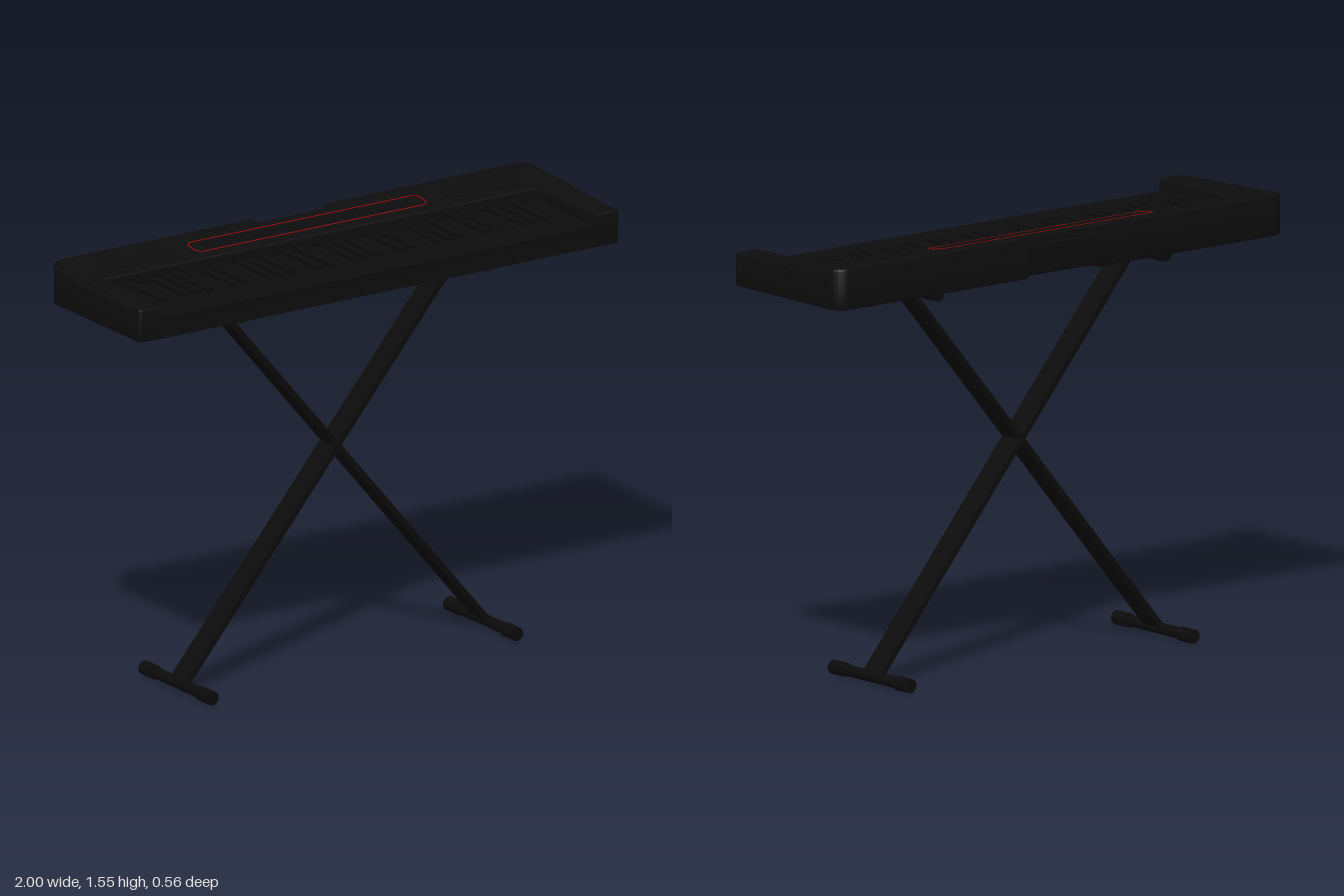
import * as THREE from 'three';
import { toCreasedNormals } from 'three/addons/utils/BufferGeometryUtils.js';

export function createModel() {
  const model = new THREE.Group();
  const mat = (name, color) => {
    const m = new THREE.MeshStandardMaterial({ color });
    m.name = name;
    return m;
  };
  const black = mat('case black', 0x0d0d0d);
  const keyBlack = mat('key black', 0x0c0c0c);
  const standBlack = mat('stand black', 0x0b0b0b);
  const red = mat('trim red', 0xb80808);

  const add = (parent, name, geometry, material, x = 0, y = 0, z = 0) => {
    const mesh = new THREE.Mesh(geometry, material);
    mesh.name = name;
    mesh.position.set(x, y, z);
    parent.add(mesh);
    return mesh;
  };
  const box = (parent, name, material, w, h, d, x, y, z) =>
    add(parent, name, new THREE.BoxGeometry(w, h, d), material, x, y, z);

  // Case: U-shaped plan with end cheeks, a raised back and a rear notch
  const FLAT = 1.525, BASE = 1.405, BACK = 0.283, BEND = 0.08, RISE = 0.027, RUN = 0.185;
  const plan = new THREE.Shape();
  plan.moveTo(-1, -0.27);
  plan.quadraticCurveTo(-1, -0.28, -0.99, -0.28);
  plan.lineTo(-0.9, -0.28);
  plan.lineTo(-0.9, BEND);
  plan.lineTo(0.9, BEND);
  plan.lineTo(0.9, -0.28);
  plan.lineTo(0.99, -0.28);
  plan.quadraticCurveTo(1, -0.28, 1, -0.27);
  plan.lineTo(1, BEND);
  plan.lineTo(1, BACK - 0.05);
  plan.absarc(0.95, BACK - 0.05, 0.05, 0, Math.PI / 2, false);
  plan.lineTo(0.15, BACK);
  plan.lineTo(0.15, 0.247);
  plan.lineTo(-0.15, 0.247);
  plan.lineTo(-0.15, BACK);
  plan.lineTo(-0.95, BACK);
  plan.absarc(-0.95, BACK - 0.05, 0.05, Math.PI / 2, Math.PI, false);
  plan.lineTo(-1, BEND);
  const bevel = 0.008;
  const caseGeo = new THREE.ExtrudeGeometry(plan, {
    depth: FLAT - BASE - 2 * bevel, bevelEnabled: true, bevelThickness: bevel,
    bevelSize: bevel, bevelOffset: -bevel, bevelSegments: 3, curveSegments: 10
  });
  caseGeo.rotateX(-Math.PI / 2);
  caseGeo.translate(0, BASE + bevel, 0);
  const p = caseGeo.attributes.position;
  for (let i = 0; i < p.count; i++) {
    if (p.getY(i) > 1.46) {
      const t = THREE.MathUtils.clamp((-p.getZ(i) - BEND) / RUN, 0, 1);
      p.setY(i, p.getY(i) + RISE * t);
    }
  }
  add(model, 'case', toCreasedNormals(caseGeo, 0.6), black);
  box(model, 'keyBed', black, 1.82, 0.045, 0.385, 0, BASE + 0.0235, 0.0875);
  box(model, 'rearNotchBar', black, 0.302, 0.06, 0.018, 0, 1.49, -0.274);

  // Keys: 36 naturals and the sharps between them
  const keys = new THREE.Group();
  keys.name = 'keys';
  model.add(keys);
  const pitch = 1.8 / 36;
  for (let i = 0; i < 36; i++) {
    const x = -0.9 + pitch * (i + 0.5);
    box(keys, 'naturalKey', keyBlack, pitch - 0.002, 0.032, 0.354, x, 1.464, 0.098);
    if (i < 35 && ![2, 6].includes(i % 7)) {
      box(keys, 'sharpKey', keyBlack, 0.026, 0.016, 0.21, x + pitch / 2, 1.486, 0.027);
    }
  }

  // Sloping control panel, with thin plates on its surface
  const panel = new THREE.Group();
  panel.name = 'controlPanel';
  panel.position.set(0, FLAT, -BEND);
  panel.rotation.x = Math.atan2(RISE, RUN);
  model.add(panel);

  const rounded = (w, d, r, Type = THREE.Shape) => {
    const s = new Type();
    s.moveTo(w / 2, 0);
    s.absarc(w / 2 - r, d / 2 - r, r, 0, Math.PI / 2, false);
    s.absarc(-w / 2 + r, d / 2 - r, r, Math.PI / 2, Math.PI, false);
    s.absarc(-w / 2 + r, -d / 2 + r, r, Math.PI, Math.PI * 1.5, false);
    s.absarc(w / 2 - r, -d / 2 + r, r, Math.PI * 1.5, Math.PI * 2, false);
    return s;
  };
  const plate = (name, shape, material, x, z, h) => {
    const g = new THREE.ExtrudeGeometry(shape, { depth: h, bevelEnabled: false, curveSegments: 8 });
    g.rotateX(-Math.PI / 2);
    add(panel, name, g, material, x, 0, z);
  };
  const outline = rounded(0.97, 0.082, 0.03);
  outline.holes.push(rounded(0.964, 0.076, 0.027, THREE.Path));
  plate('redOutline', outline, red, 0, -0.085, 0.0015);
  for (const side of [-1, 1]) {
    plate('speakerGrille', rounded(0.3, 0.07, 0.015), keyBlack, side * 0.72, -0.085, 0.003);
    for (let i = 0; i < 8; i++) {
      for (const z of [-0.1, -0.07]) {
        plate('button', rounded(0.028, 0.014, 0.004), keyBlack, side * (0.15 + i * 0.038), z, 0.003);
      }
    }
  }
  plate('display', rounded(0.2, 0.05, 0.006), keyBlack, 0, -0.085, 0.002);

  // Folding X stand: crossed flat legs with capped tubes at both ends
  const stand = new THREE.Group();
  stand.name = 'stand';
  stand.position.z = -0.019;
  model.add(stand);
  const tube = (name, x, y) => {
    const bar = new THREE.Group();
    bar.name = name;
    bar.position.set(x, y, 0);
    stand.add(bar);
    const rod = (part, r, length, z) => {
      const g = new THREE.CylinderGeometry(r, r, length, 20);
      g.rotateX(Math.PI / 2);
      add(bar, part, g, standBlack, 0, 0, z);
    };
    rod('crossTube', 0.02, 0.41, 0);
    for (const side of [-1, 1]) rod('rubberCap', 0.025, 0.07, side * 0.175);
  };
  const top = new THREE.Vector2(0.51, 1.391), foot = new THREE.Vector2(0.635, 0.026);
  for (const side of [-1, 1]) {
    const dx = side * (top.x + foot.x), dy = top.y - foot.y;
    const leg = box(stand, 'leg', standBlack, 0.02, Math.hypot(dx, dy), 0.094,
      side * (top.x - foot.x) / 2, (top.y + foot.y) / 2, 0);
    leg.rotation.z = -Math.atan2(dx, dy);
    tube('supportTube', side * top.x, top.y);
    tube('footTube', side * foot.x, foot.y);
  }
  const pivot = new THREE.CylinderGeometry(0.012, 0.012, 0.1, 16);
  pivot.rotateX(Math.PI / 2);
  add(stand, 'pivotBolt', pivot, standBlack, 0, 0.782, 0);

  return model;
}
